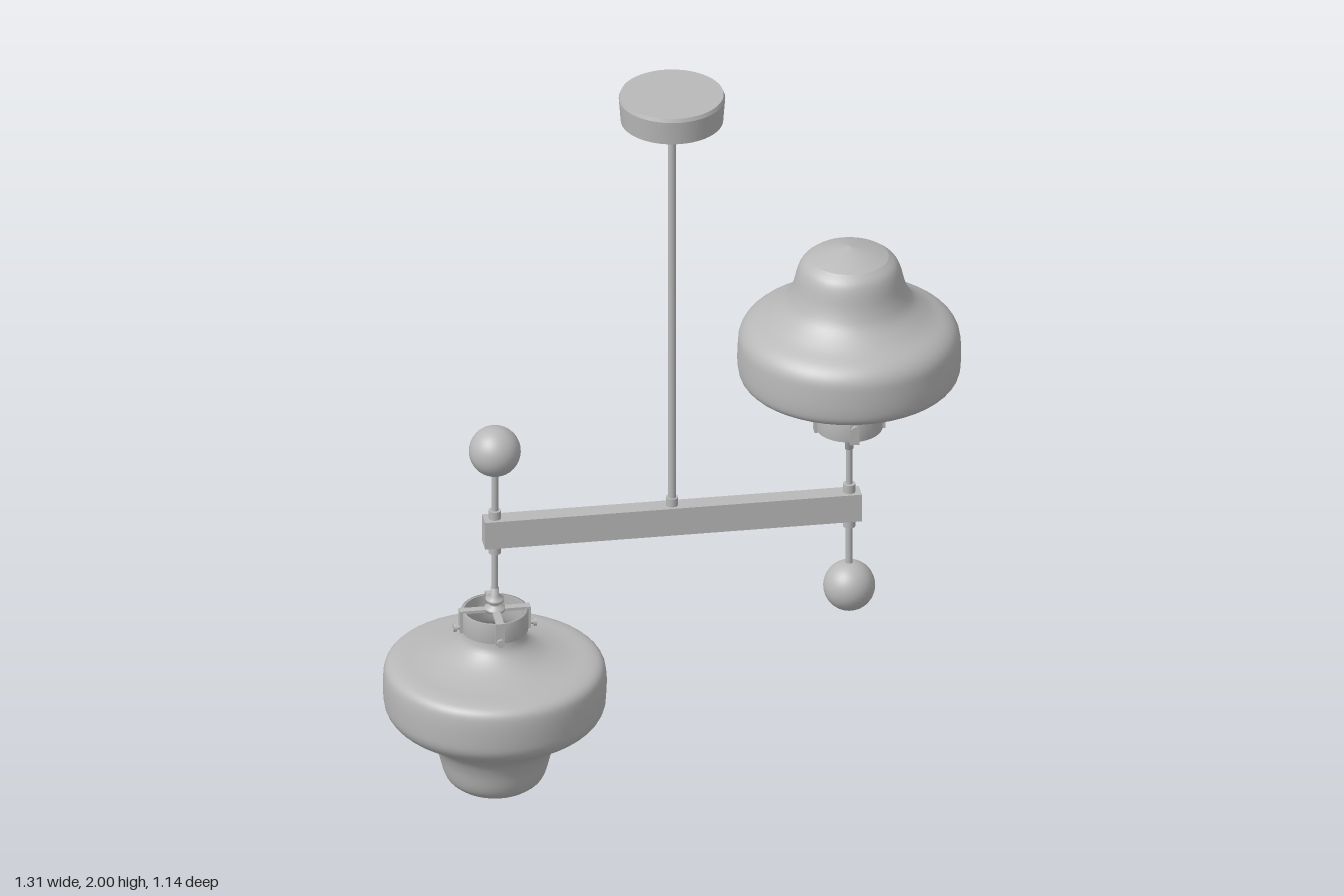
import * as THREE from 'three';

const metal = new THREE.MeshStandardMaterial({ color: 0xb8b8b8 });
metal.name = 'plain grey';
const greyOpen = new THREE.MeshStandardMaterial({ color: 0xb8b8b8, side: THREE.DoubleSide });
greyOpen.name = 'plain grey';

function add(parent, name, geometry, x = 0, y = 0, z = 0, material = metal) {
  const mesh = new THREE.Mesh(geometry, material);
  mesh.name = name;
  mesh.position.set(x, y, z);
  parent.add(mesh);
  return mesh;
}

// Upright cylinder between two heights
function post(parent, name, r, y0, y1, x = 0, z = 0, sides = 20) {
  return add(parent, name, new THREE.CylinderGeometry(r, r, y1 - y0, sides), x, (y0 + y1) / 2, z);
}

const points = (list) => list.map(([r, y]) => new THREE.Vector2(r, y));

// One upright lamp; heights are measured from the middle of the bar
function createLamp() {
  const lamp = new THREE.Group();
  lamp.name = 'lamp';

  // Glass shade: smooth body with a shallow pointed cap
  const profile = new THREE.SplineCurve(points([
    [0.074, 0.235], [0.076, 0.285], [0.088, 0.318], [0.13, 0.347], [0.19, 0.364],
    [0.25, 0.372], [0.278, 0.386], [0.287, 0.415], [0.287, 0.47], [0.281, 0.507],
    [0.258, 0.535], [0.21, 0.562], [0.168, 0.597], [0.147, 0.637], [0.134, 0.685],
    [0.122, 0.71], [0.102, 0.727],
  ])).getPoints(64);
  add(lamp, 'shadeBody', new THREE.LatheGeometry(profile, 48), 0, 0, 0, greyOpen);
  add(lamp, 'shadeCap', new THREE.LatheGeometry(points([[0.102, 0.727], [0.055, 0.745], [0, 0.757]]), 48));

  // Stem with its collars and turned knob
  post(lamp, 'stemCollar', 0.016, 0.036, 0.062);
  post(lamp, 'stem', 0.008, 0.04, 0.235);
  const knob = [[0, 0.165], [0.011, 0.165], [0.011, 0.188], [0.024, 0.194], [0.024, 0.203],
    [0.013, 0.209], [0.013, 0.215], [0.027, 0.221], [0.027, 0.229], [0, 0.229]];
  add(lamp, 'stemKnob', new THREE.LatheGeometry(points(knob), 24));

  // Open ring that grips the neck of the shade
  const band = [[0.079, 0.228], [0.086, 0.228], [0.086, 0.284], [0.079, 0.284], [0.079, 0.228]];
  add(lamp, 'holderRing', new THREE.LatheGeometry(points(band), 40), 0, 0, 0, greyOpen);

  // Four claws, each with a thumbscrew
  for (let i = 0; i < 4; i++) {
    const claw = new THREE.Group();
    claw.name = 'claw';
    claw.rotation.y = i * Math.PI / 2;
    add(claw, 'spoke', new THREE.BoxGeometry(0.09, 0.008, 0.02), 0.045, 0.227, 0);
    add(claw, 'clip', new THREE.BoxGeometry(0.008, 0.062, 0.024), 0.088, 0.254, 0);
    const shaft = new THREE.CylinderGeometry(0.006, 0.006, 0.035, 10).rotateZ(Math.PI / 2);
    add(claw, 'screwShaft', shaft, 0.09, 0.273, 0);
    const head = new THREE.CylinderGeometry(0.011, 0.011, 0.008, 12).rotateZ(Math.PI / 2);
    add(claw, 'screwHead', head, 0.104, 0.273, 0);
    lamp.add(claw);
  }

  // Counterweight ball below the bar
  post(lamp, 'ballCollar', 0.016, -0.062, -0.036);
  post(lamp, 'ballRod', 0.009, -0.19, -0.04);
  add(lamp, 'ball', new THREE.SphereGeometry(0.067, 32, 20), 0, -0.235, 0);
  return lamp;
}

export function createModel() {
  const model = new THREE.Group();
  model.name = 'pendantLight';

  // Ceiling canopy with a softened top rim, and the drop rod
  const canopy = [[0, 1.925], [0.132, 1.925], [0.132, 1.925], [0.137, 1.99], [0.137, 1.99],
    [0.133, 2], [0.133, 2], [0, 2]];
  const canopyGeometry = new THREE.LatheGeometry(points(canopy), 48);
  add(model, 'canopy', canopyGeometry);
  post(model, 'dropRod', 0.011, 0.79, 1.93);
  post(model, 'dropRodCollar', 0.016, 0.79, 0.822);

  // Diagonal bar carrying one upright lamp and one hanging lamp
  const arm = new THREE.Group();
  arm.name = 'arm';
  arm.position.y = 0.76;
  arm.rotation.y = -Math.atan2(0.28, 0.366);
  add(arm, 'bar', new THREE.BoxGeometry(0.98, 0.078, 0.048));
  for (const turn of [0, Math.PI]) {
    const half = new THREE.Group();
    half.name = turn ? 'hangingLamp' : 'uprightLamp';
    half.rotation.z = turn;
    const lamp = createLamp();
    lamp.position.x = 0.461;
    half.add(lamp);
    arm.add(half);
  }
  model.add(arm);
  return model;
}
